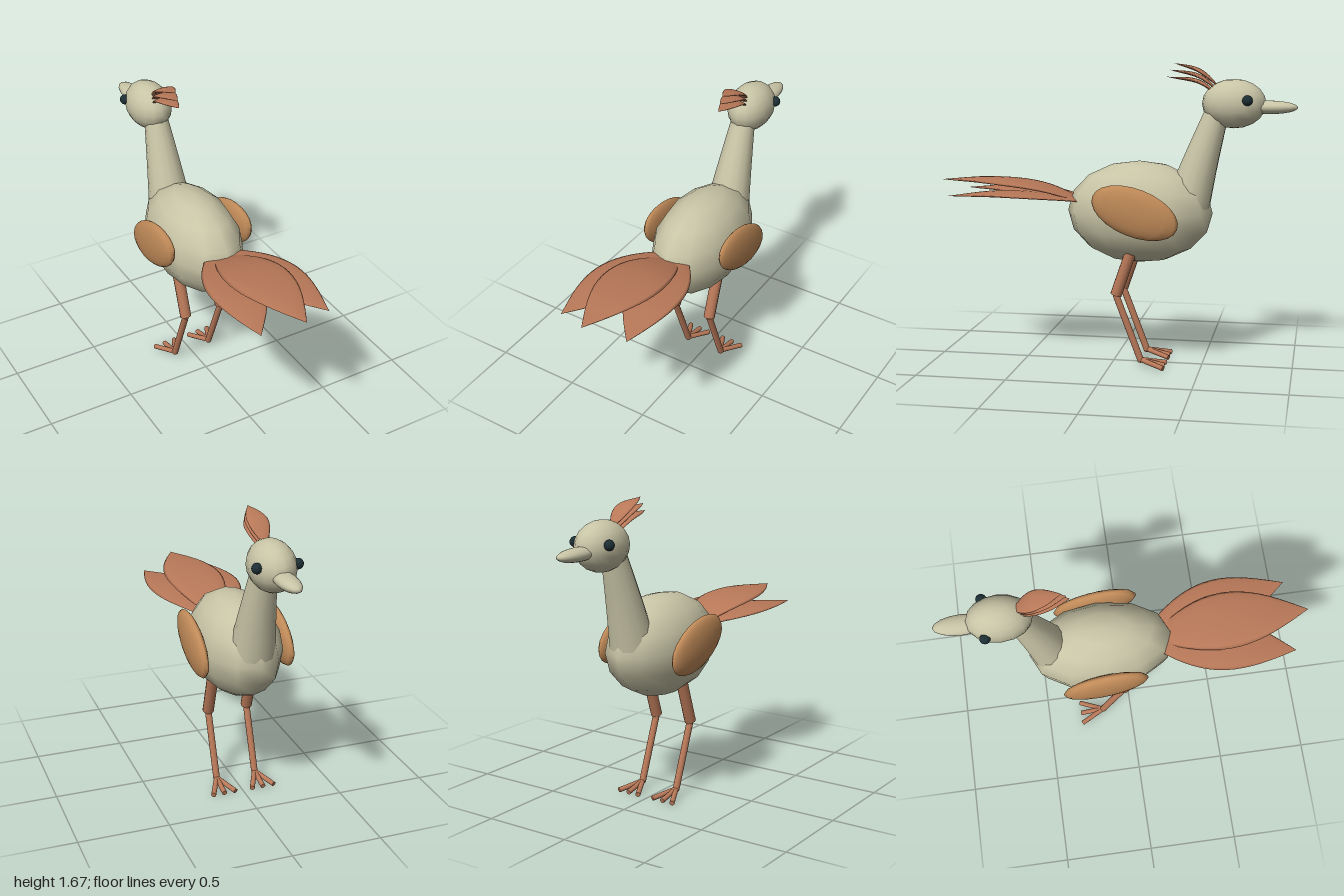
import * as THREE from 'three';

const paint = (color) => new THREE.MeshStandardMaterial({ color, side: THREE.DoubleSide });
const V = (x, y, z) => new THREE.Vector3(x, y, z);

// Elliptical rings swept along a smooth path; width(t) and height(t) are half sizes
function loft(points, width, height, rings = 16, sides = 16) {
  const curve = new THREE.CatmullRomCurve3(points);
  const pos = [], index = [];
  for (let i = 0; i <= rings; i++) {
    const t = i / rings;
    const c = curve.getPointAt(t), dir = curve.getTangentAt(t);
    const side = V(0, 1, 0).cross(dir).normalize();
    const up = dir.clone().cross(side);
    for (let j = 0; j < sides; j++) {
      const a = (j / sides) * Math.PI * 2;
      const p = c.clone().addScaledVector(side, Math.cos(a) * width(t)).addScaledVector(up, Math.sin(a) * height(t));
      pos.push(p.x, p.y, p.z);
      if (i < rings) {
        const k = (j + 1) % sides, r = i * sides, n = r + sides;
        index.push(r + j, r + k, n + k, r + j, n + k, n + j);
      }
    }
  }
  const g = new THREE.BufferGeometry();
  g.setAttribute('position', new THREE.Float32BufferAttribute(pos, 3));
  g.setIndex(index);
  g.computeVertexNormals();
  return g;
}

// Pointed leaf-shaped feather
const feather = (points, w, h) => {
  const leaf = (t) => Math.max(Math.sin(Math.PI * t), 0.002);
  return loft(points, (t) => w * leaf(t), (t) => h * leaf(t), 18, 14);
};

// Straight round rod between two points
function rod(a, b, r) {
  const g = new THREE.CylinderGeometry(r, r, a.distanceTo(b), 12);
  const q = new THREE.Quaternion().setFromUnitVectors(V(0, 1, 0), b.clone().sub(a).normalize());
  const mid = a.clone().add(b).multiplyScalar(0.5);
  return g.applyQuaternion(q).translate(mid.x, mid.y, mid.z);
}

export function createModel() {
  const model = new THREE.Group();
  model.name = 'bird';
  const cream = paint(0xc8c4a6), tan = paint(0xc08a58), rust = paint(0xb87858), dark = paint(0x1c2e34);

  const add = (name, geometry, material, parent = model) => {
    const mesh = new THREE.Mesh(geometry, material);
    mesh.name = name;
    parent.add(mesh);
    return mesh;
  };
  const ball = (name, material, size, at, w = 16, h = 12) => {
    const mesh = add(name, new THREE.SphereGeometry(1, w, h), material);
    mesh.scale.set(...size);
    mesh.position.set(...at);
    return mesh;
  };

  // Body, neck and head
  ball('body', cream, [0.235, 0.283, 0.405], [0, 0.857, -0.145], 12, 8);
  const neckRadius = (t) => 0.125 - 0.06 * t;
  add('neck', loft([V(0, 0.9, -0.41), V(0, 1.1, -0.468), V(0, 1.25, -0.515), V(0, 1.42, -0.57)],
    neckRadius, neckRadius, 10, 14), cream);
  ball('head', cream, [0.12, 0.133, 0.173], [0, 1.458, -0.658], 16, 10);
  ball('beak', cream, [0.056, 0.036, 0.15], [0, 1.44, -0.85]);

  // Three crest feathers, fanned one above the other
  const crest = new THREE.Group();
  crest.name = 'crest';
  model.add(crest);
  [[1.674, -0.33], [1.638, -0.306], [1.6, -0.29]].forEach(([y, z], i) => {
    const drop = i * 0.025;
    add('crestFeather', feather([V(0, 1.535 - drop, -0.59), V(0, 1.633 - drop * 1.2, -0.47), V(0, y, z)], 0.056, 0.011), rust, crest);
  });

  // Tail: a long middle feather over two splayed ones
  const tail = new THREE.Group();
  tail.name = 'tail';
  model.add(tail);
  add('middleTailFeather', feather([V(0, 0.88, 0.1), V(0, 0.98, 0.4), V(0, 1.015, 0.7), V(0, 1.013, 0.995)], 0.165, 0.017), rust, tail);

  for (const s of [1, -1]) {
    const label = s > 0 ? 'left' : 'right';
    add(label + 'TailFeather', feather([V(s * 0.025, 0.9, 0.08), V(s * 0.085, 0.94, 0.35),
      V(s * 0.14, 0.956, 0.62), V(s * 0.202, 0.945, 0.9)], 0.15, 0.014), rust, tail);

    // Eye and wing
    ball(label + 'Eye', dark, [0.027, 0.028, 0.028], [s * 0.108, 1.48, -0.737]);
    ball(label + 'Wing', tan, [0.044, 0.13, 0.245], [s * 0.243, 0.883, -0.155]).rotation.x = -0.35;

    // Leg: thigh, shin and three forward toes
    const leg = new THREE.Group();
    leg.name = label + 'Leg';
    model.add(leg);
    const x = s * 0.115;
    const knee = V(x, 0.405, -0.032), ankle = V(x, 0.045, -0.17);
    add('thigh', rod(V(x, 0.64, -0.112), knee, 0.032), rust, leg);
    add('shin', rod(knee, ankle, 0.019), rust, leg);
    add('ankle', new THREE.SphereGeometry(0.019, 12, 8).translate(x, 0.045, -0.17), rust, leg);
    for (const spread of [-0.065, 0, 0.065]) {
      add('toe', rod(ankle, V(x + spread, 0.017, -0.305), 0.014), rust, leg);
    }
  }
  return model;
}
